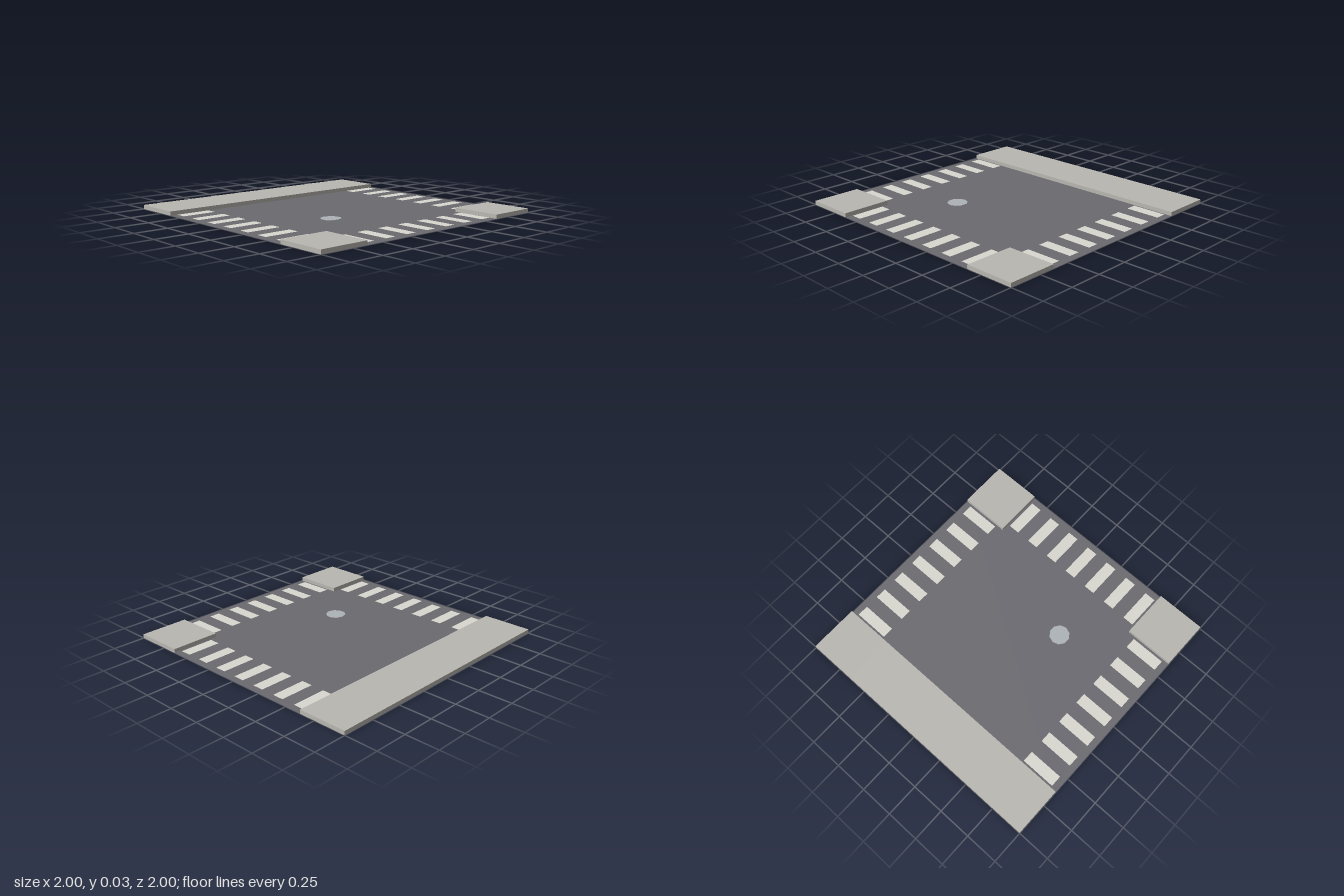
import * as THREE from 'three';

const EDGE = 0.628;   // where the kerbs begin
const KERB = 0.03;    // kerb height

const paint = (color) => new THREE.MeshStandardMaterial({ color, side: THREE.DoubleSide, flatShading: true });

// Box resting on the ground with its underside left open
function openBox(x0, x1, z0, z1) {
  const g = new THREE.BoxGeometry(x1 - x0, KERB, z1 - z0);
  const index = Array.from(g.index.array);
  index.splice(18, 6); // fourth side of a box is the bottom
  g.setIndex(index);
  g.clearGroups();
  return g.translate((x0 + x1) / 2, KERB / 2, (z0 + z1) / 2);
}

export function createModel() {
  const model = new THREE.Group();
  const add = (name, geometry, material, parent = model) => {
    const mesh = new THREE.Mesh(geometry, material);
    mesh.name = name;
    parent.add(mesh);
    return mesh;
  };

  const asphalt = paint(0x6b6a70);
  const concrete = paint(0xb9b7b1);
  const white = paint(0xd9d9d1);
  const metal = paint(0xadb3b7);

  // Road surface: T-shaped sheet between the pavements
  const outline = [
    [-EDGE, -1], [EDGE, -1], [EDGE, -EDGE], [1, -EDGE],
    [1, EDGE], [EDGE, EDGE], [EDGE, 1], [-EDGE, 1],
  ].map(([x, y]) => new THREE.Vector2(x, y));
  add('road', new THREE.ShapeGeometry(new THREE.Shape(outline)).rotateX(-Math.PI / 2), asphalt);

  // Pavements: four corners and the long stretch joining the two on the right
  for (const s of [-1, 1]) {
    const z0 = s < 0 ? -1 : EDGE;
    const z1 = s < 0 ? -EDGE : 1;
    add('cornerPavement', openBox(EDGE, 1, z0, z1), concrete);
    add('cornerPavement', openBox(-1, -EDGE, z0, z1), concrete);
  }
  add('sidePavement', openBox(-1, -EDGE, -EDGE, EDGE), concrete);

  // Pedestrian crossings on the three open arms
  const stripe = new THREE.PlaneGeometry(0.085, 0.262).rotateX(-Math.PI / 2);
  for (const turn of [0, 1, 2]) {
    const crossing = new THREE.Group();
    crossing.name = 'crossing';
    crossing.rotation.y = turn * Math.PI / 2;
    for (let i = -3; i <= 3; i++) {
      add('stripe', stripe, white, crossing).position.set(i * 0.189, 0.004, 0.821);
    }
    model.add(crossing);
  }

  // Round access cover
  const cover = new THREE.CylinderGeometry(0.075, 0.075, 0.003, 10).rotateY(Math.PI / 2);
  add('accessCover', cover, metal).position.set(0.264, 0.014, 0.264);

  return model;
}
